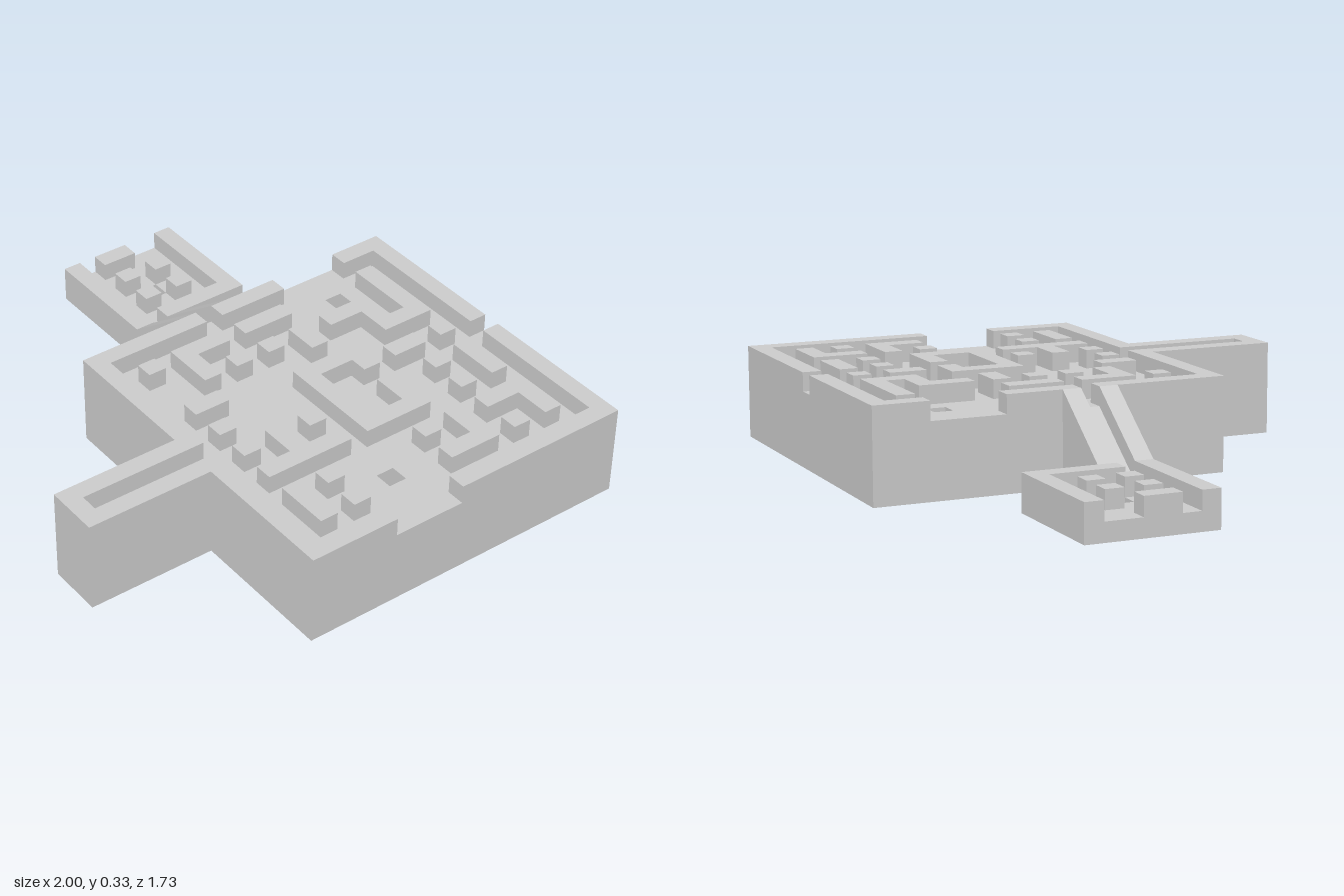
import * as THREE from 'three';

const U = 1 / 15; // one grid square

// '#' raised block, '.' floor, 'o' open shaft
const regions = [
  { name: 'upperMaze', col: 11, row: 0, plan: [
    '#########.#########',
    '#.................#',
    '#.#####.#.###.###.#',
    '......#.......#...#',
    '..o.###.#.###.#.#.#'.replace('#.###.#.#.#', '#.#.#.#.#.#'),
    '....#...#.........#',
    '....#.........###.#',
    '#......##.###...#.#',
    '#.#.##.#....#.#.#.#',
    '#.#....#....#.....#',
    '#.#.#..######......',
    '...............o...',
    '#.#.#.....#.#......',
    '#.#.........#......',
    '#.###.....###.#.#.#',
    '#.....#.....#.....#',
    '#.#...#.#.#.#.###.#',
    '#.................#',
    '#########.#########'] },
  { name: 'frontCorridor', col: 19, row: 19, plan: ['#.#', '#.#', '#.#', '#.#', '#.#', '#.#', '###'] },
  { name: 'ramp', col: 7, row: 10, plan: ['####', '....', '####'] },
  { name: 'lowerMaze', col: 0, row: 6, plan: [
    '#######',
    '......#',
    '..#.#.#',
    '#..o..#',
    '#.#.#.#',
    '.......',
    '#######'] },
];

// Kind of square at any column and row
function cellAt(c, r) {
  for (const g of regions) {
    const line = g.plan[r - g.row];
    if (line && line[c - g.col]) return line[c - g.col];
  }
  return ' ';
}

// Floor height at a column line: low court, slope, high court
const floorY = (c) => U * (1 + 3 * THREE.MathUtils.clamp((c - 7) / 4, 0, 1));

function surfaceY(kind, c) {
  if (kind === '#') return floorY(c) + U;
  return kind === '.' ? floorY(c) : 0;
}

// Collects four-cornered faces into one mesh
class Faces {
  constructor() { this.points = []; }
  quad(a, b, c, d) {
    for (const p of [a, b, c, a, c, d]) this.points.push(...p);
  }
  mesh(name, material) {
    const geometry = new THREE.BufferGeometry();
    geometry.setAttribute('position', new THREE.Float32BufferAttribute(this.points, 3));
    geometry.computeVertexNormals();
    const mesh = new THREE.Mesh(geometry, material);
    mesh.name = name;
    return mesh;
  }
}

export function createModel() {
  const model = new THREE.Group();
  model.name = 'mazeCourts';
  const material = new THREE.MeshStandardMaterial({
    color: 0xcccccc, flatShading: true, side: THREE.DoubleSide });
  const X = (c) => c * U - 1;
  const Z = (r) => (r - 13) * U;

  for (const region of regions) {
    const group = new THREE.Group();
    group.name = region.name;
    const parts = { floor: new Faces(), blocks: new Faces(), outerWalls: new Faces(), shaft: new Faces() };

    region.plan.forEach((line, j) => [...line].forEach((kind, i) => {
      if (kind === 'o') return;
      const c = region.col + i, r = region.row + j;

      // Top of the square
      const top = (cc, rr) => [X(cc), surfaceY(kind, cc), Z(rr)];
      parts[kind === '#' ? 'blocks' : 'floor'].quad(
        top(c, r), top(c, r + 1), top(c + 1, r + 1), top(c + 1, r));

      // Sides facing a lower neighbour: [neighbour step, left corner, right corner]
      const sides = [
        [0, 1, [0, 1], [1, 1]], [1, 0, [1, 1], [1, 0]],
        [0, -1, [1, 0], [0, 0]], [-1, 0, [0, 0], [0, 1]]];
      for (const [dc, dr, [ac, ar], [bc, br]] of sides) {
        const next = cellAt(c + dc, r + dr);
        if (next === kind || next === '#') continue;
        const side = (lower, upper, part) => part.quad(
          [X(c + ac), lower(c + ac), Z(r + ar)], [X(c + bc), lower(c + bc), Z(r + br)],
          [X(c + bc), upper(c + bc), Z(r + br)], [X(c + ac), upper(c + ac), Z(r + ar)]);
        if (kind === '#') side(floorY, (k) => floorY(k) + U, parts.blocks);
        // Drop to the ground at the rim and around shafts
        if (next !== '.') side(() => 0, floorY, next === 'o' ? parts.shaft : parts.outerWalls);
      }
    }));

    for (const [name, faces] of Object.entries(parts)) {
      if (faces.points.length) group.add(faces.mesh(name, material));
    }
    model.add(group);
  }
  return model;
}
